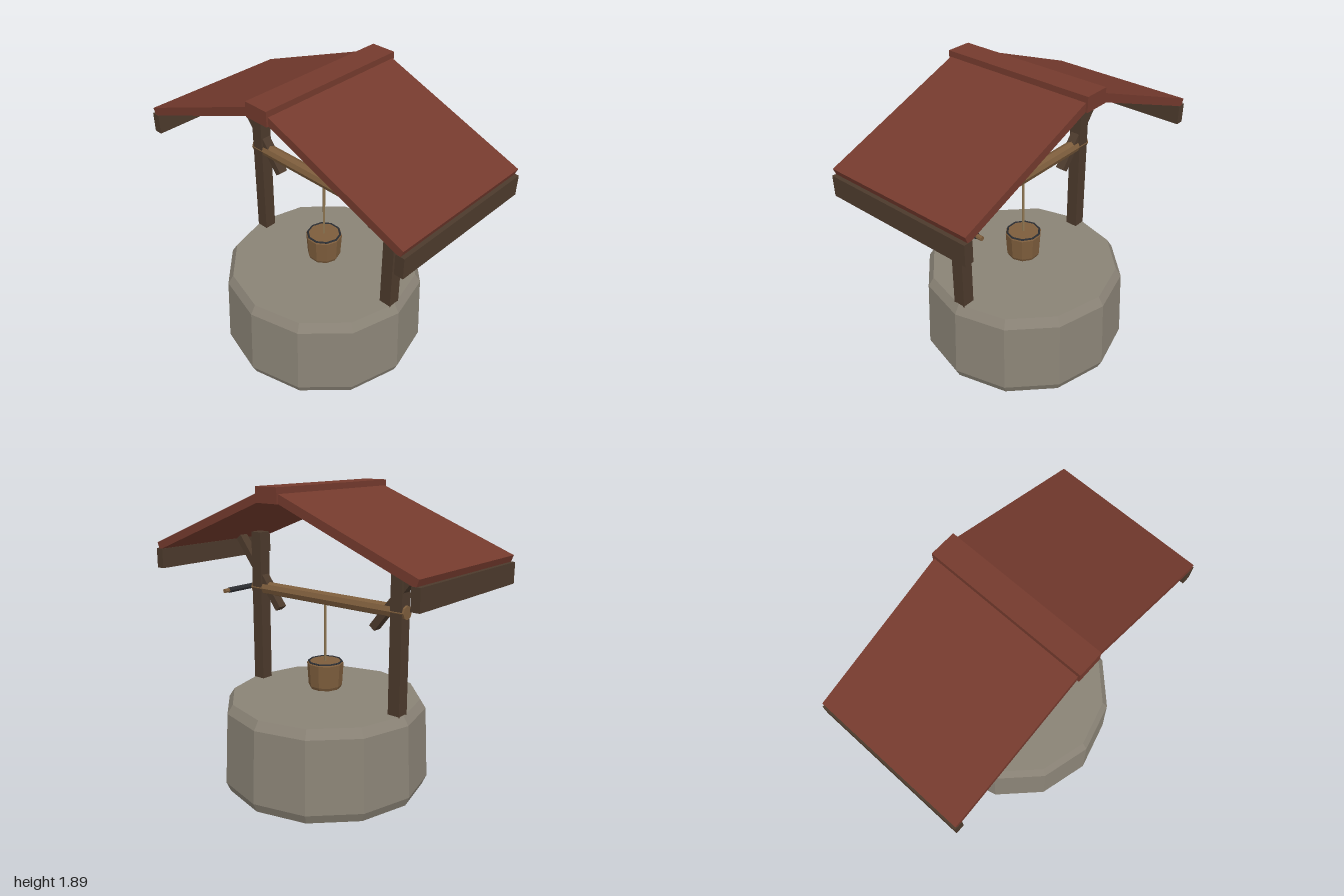
import * as THREE from 'three';

const paint = (color) => new THREE.MeshStandardMaterial({ color, flatShading: true, side: THREE.DoubleSide });

export function createModel() {
  const well = new THREE.Group();
  well.name = 'well';
  const stone = paint(0x8a8376);
  const tile = paint(0x743a2d);
  const darkWood = paint(0x4c3a2c);
  const wood = paint(0x7d5d3c);
  const iron = paint(0x2b2d31);
  const ropeFibre = paint(0x8c7450);

  const add = (name, geometry, material, x = 0, y = 0, z = 0) => {
    const mesh = new THREE.Mesh(geometry, material);
    mesh.name = name;
    mesh.position.set(x, y, z);
    well.add(mesh);
    return mesh;
  };
  const box = (w, h, d) => new THREE.BoxGeometry(w, h, d);
  const lathe = (points, sides) =>
    new THREE.LatheGeometry(points.map(([r, y]) => new THREE.Vector2(r, y)), sides);

  // Chamfered twelve-sided stone base
  add('stoneBase', lathe([[0, 0], [0.63, 0], [0.657, 0.06], [0.635, 0.515], [0.6, 0.57], [0, 0.57]], 12), stone);

  // Posts, braces, roof slabs and eave boards, mirrored left and right
  for (const s of [1, -1]) {
    const side = s > 0 ? 'left' : 'right';
    add(side + 'Post', box(0.08, 1.555, 0.08), darkWood, s * 0.554, 0.7775);

    const brace = add(side + 'Brace', box(0.56, 0.046, 0.06), darkWood, s * 0.552, 1.29);
    brace.rotation.z = s * Math.atan2(0.439, 0.348);

    const slope = Math.atan2(0.36, 0.93);
    const thickness = 0.05;
    const length = 0.99 / Math.cos(slope);
    const slab = add(side + 'RoofSlab', box(length, thickness, 0.975), tile,
      s * (0.495 - Math.sin(slope) * thickness / 2),
      1.69 - Math.cos(slope) * thickness / 2);
    slab.rotation.z = -s * slope;

    add(side + 'EaveBoard', box(0.055, 0.125, 0.978), darkWood, s * 0.9725, 1.3975);
  }
  add('ridgeCap', box(0.16, 0.09, 1), tile, 0, 1.842);

  // Winding axle
  const axle = add('axle', new THREE.CylinderGeometry(0.042, 0.042, 1.214, 8), wood, 0, 1.19);
  axle.rotation.z = Math.PI / 2;

  // Crank arm and grip
  const crank = add('crankArm', new THREE.CylinderGeometry(0.018, 0.018, 0.215, 8), iron, 0.635, 1.19, -0.1075);
  crank.rotation.x = Math.PI / 2;
  const grip = add('crankGrip', new THREE.CylinderGeometry(0.014, 0.014, 0.04, 8), wood, 0.635, 1.19, -0.232);
  grip.rotation.x = Math.PI / 2;

  // Rope and hanging bucket with an iron hoop
  add('rope', new THREE.CylinderGeometry(0.008, 0.008, 0.41, 6), ropeFibre, 0, 0.985);
  add('bucket', lathe([[0, 0.618], [0.097, 0.618], [0.106, 0.637], [0.115, 0.78], [0.108, 0.79], [0, 0.79]], 10), wood)
    .rotation.y = Math.PI / 2;
  const hoop = add('bucketHoop', new THREE.TorusGeometry(0.104, 0.007, 6, 10), iron, 0, 0.788);
  hoop.rotation.x = Math.PI / 2;

  return well;
}
